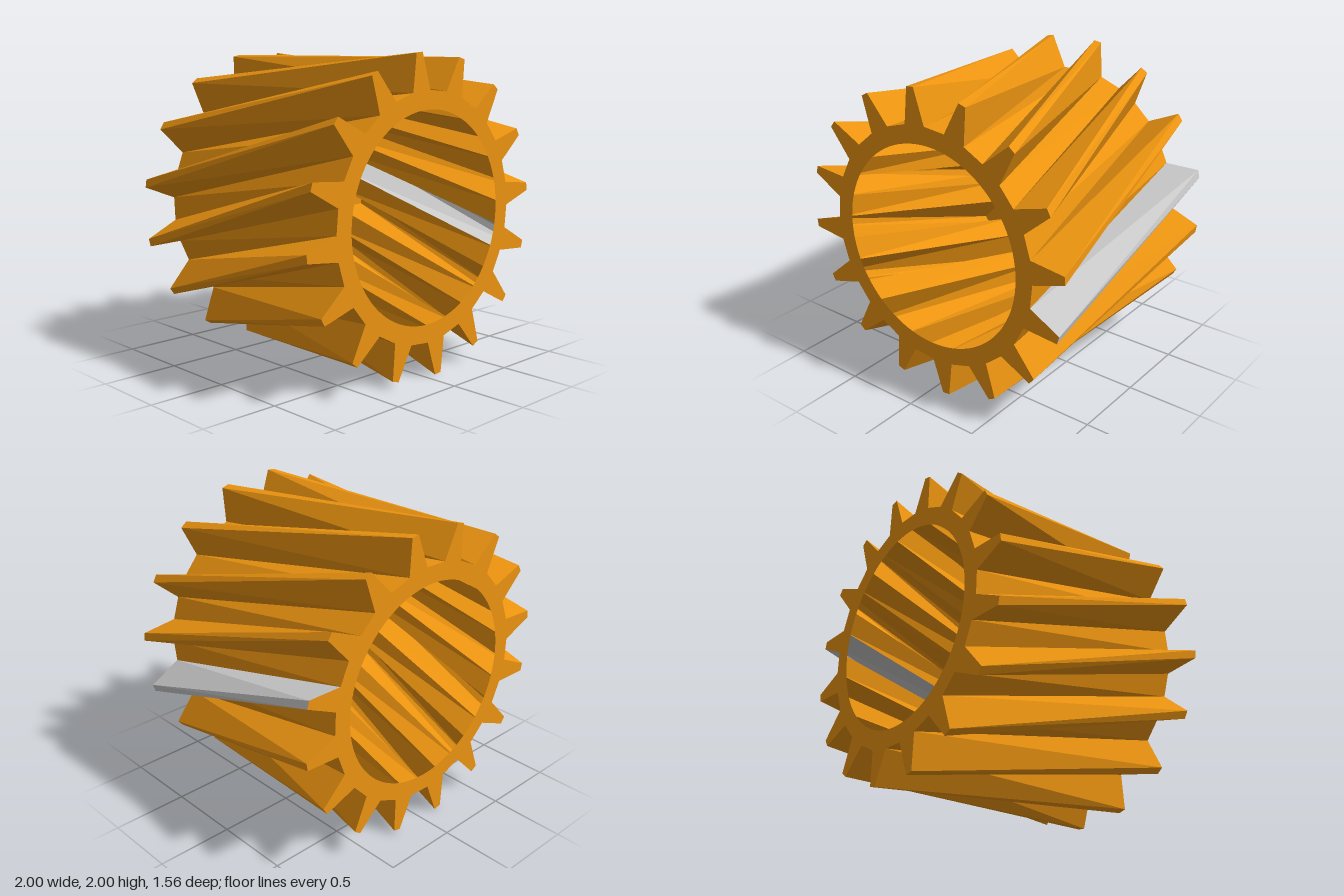
import * as THREE from 'three';

const TEETH = 16;
const TIP_R = 1.003, ROOT_R = 0.777, BORE_R = 0.66;
const HALF_DEPTH = 0.78;
const TWIST = 30;              // degrees gained from front to back
const FIRST = -16.5;           // front angle of the first tooth
const PITCH = 360 / TEETH;
const ROOT_HALF = 5.625, TIP_HALF = 1.5;

// The four outline corners of one tooth, anticlockwise
const TOOTH = [[-ROOT_HALF, ROOT_R], [-TIP_HALF, TIP_R], [TIP_HALF, TIP_R], [ROOT_HALF, ROOT_R]];

// Gear outline as [x, y] points, turned by a number of degrees
function outline(turn) {
  const points = [];
  for (let t = 0; t < TEETH; t++) {
    for (const [offset, r] of TOOTH) {
      const a = THREE.MathUtils.degToRad(FIRST + turn + t * PITCH + offset);
      points.push(new THREE.Vector2(r * Math.cos(a), r * Math.sin(a)));
    }
  }
  return points;
}

// Flat ring-shaped end face with the bore cut out
function capGeometry(turn, z, flip) {
  const shape = new THREE.Shape(outline(turn));
  const bore = new THREE.Path();
  bore.absarc(0, 0, BORE_R, 0, Math.PI * 2, true);
  shape.holes.push(bore);
  const geometry = new THREE.ShapeGeometry(shape, 48);
  if (flip) geometry.index.array.reverse();
  geometry.computeVertexNormals();
  geometry.translate(0, 0, z);
  return geometry;
}

// Ruled strips joining the front and back outlines, for the chosen segments
function wallGeometry(segments) {
  const front = outline(0), back = outline(TWIST);
  const positions = [];
  const add = (p, z) => positions.push(p.x, p.y, z);
  for (const i of segments) {
    const j = (i + 1) % front.length;
    add(front[i], HALF_DEPTH); add(back[i], -HALF_DEPTH); add(front[j], HALF_DEPTH);
    add(back[i], -HALF_DEPTH); add(back[j], -HALF_DEPTH); add(front[j], HALF_DEPTH);
  }
  const geometry = new THREE.BufferGeometry();
  geometry.setAttribute('position', new THREE.Float32BufferAttribute(positions, 3));
  geometry.computeVertexNormals();
  return geometry;
}

export function createModel() {
  const group = new THREE.Group();
  group.name = 'helicalGear';

  const material = (color) => new THREE.MeshStandardMaterial({
    color, flatShading: true, side: THREE.DoubleSide,
  });
  const orange = material(0xec9410);
  const grey = material(0xcccccc);

  const add = (name, geometry, mat) => {
    const mesh = new THREE.Mesh(geometry, mat);
    mesh.name = name;
    mesh.position.y = 1;
    group.add(mesh);
  };

  // End faces
  add('frontFace', capGeometry(0, HALF_DEPTH, false), orange);
  add('backFace', capGeometry(TWIST, -HALF_DEPTH, true), orange);

  // Twisted teeth: both flanks and tip; the first tooth is grey
  for (let t = 0; t < TEETH; t++) {
    const s = t * TOOTH.length;
    add(t === 0 ? 'markedTooth' : `tooth${t}`, wallGeometry([s, s + 1, s + 2]), t === 0 ? grey : orange);
  }

  // Root strips between the teeth (the bore itself has no lining)
  const roots = Array.from({ length: TEETH }, (_, t) => t * TOOTH.length + 3);
  add('toothRoots', wallGeometry(roots), orange);

  return group;
}
